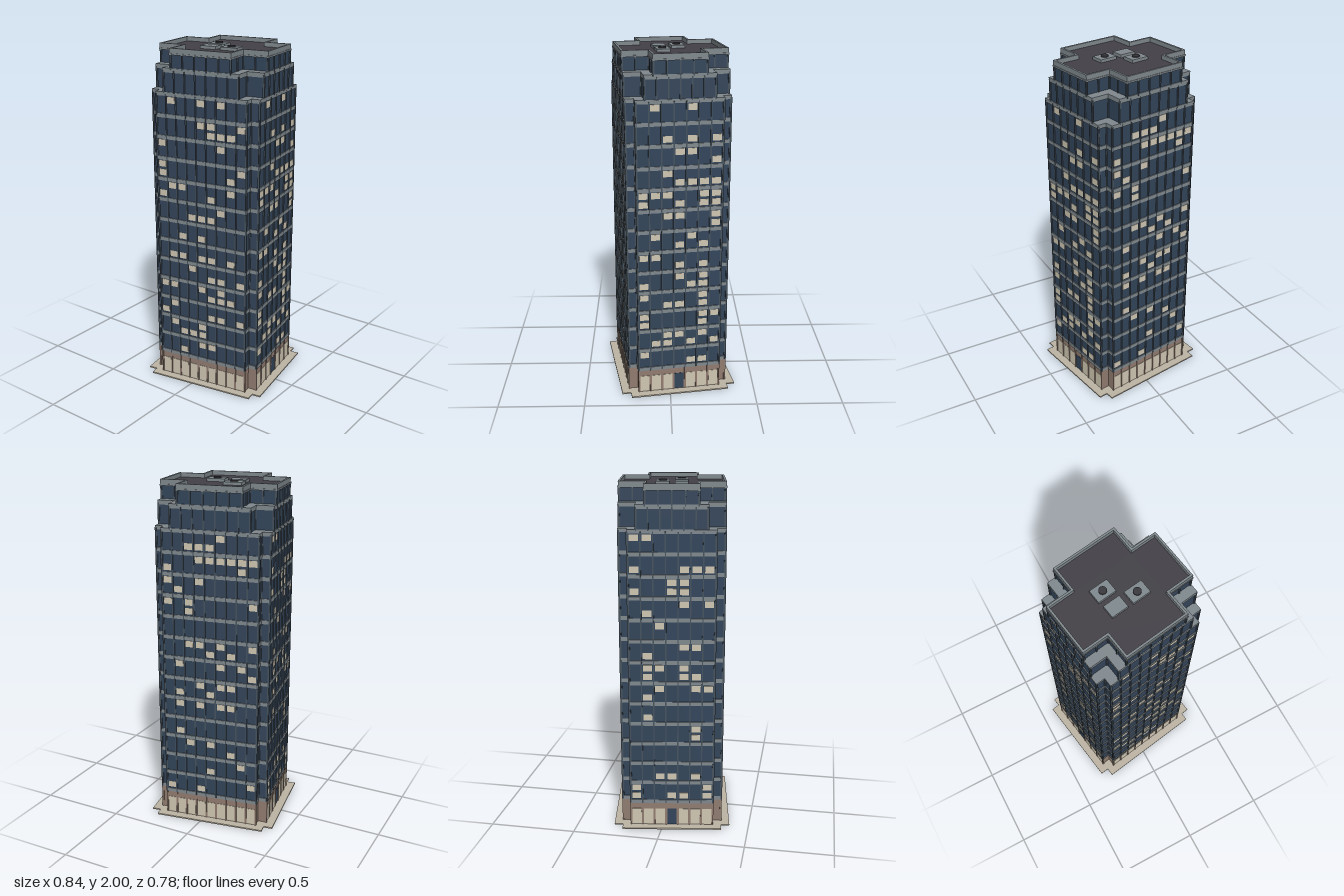
import * as THREE from 'three';
import { mergeGeometries } from 'three/addons/utils/BufferGeometryUtils.js';

const mat = (color) => new THREE.MeshStandardMaterial({ color });
const MAT = {
  glass: mat(0x33455a), lit: mat(0xd0c7b3), band: mat(0x80898e), mullion: mat(0x46525d),
  wall: mat(0x917c70), paving: mat(0xbdb4a4), roof: mat(0x434147), fan: mat(0x3a393e),
};

// Cross-shaped plans: A, B = half extents in x and z; a, b = half widths of the long front and side faces
const MAIN = { A: 0.329, B: 0.29, a: 0.278, b: 0.24 };
const MIDDLE = { A: 0.329, B: 0.29, a: 0.228, b: 0.193 };
const TOP = { A: 0.329, B: 0.29, a: 0.182, b: 0.145 };
const grow = (p, d) => ({ A: p.A + d, B: p.B + d, a: p.a + d, b: p.b + d });

function points({ A, B, a, b }) {
  return [[A, b], [a, b], [a, B], [-a, B], [-a, b], [-A, b], [-A, -b], [-a, -b], [-a, -B], [a, -B], [a, -b], [A, -b]]
    .map(([x, z]) => new THREE.Vector2(x, z));
}

// Upright prism of a cross plan, with an optional cross-shaped hole
function prism(plan, y0, y1, hole) {
  const shape = new THREE.Shape(points(plan));
  if (hole) shape.holes.push(new THREE.Path(points(hole)));
  return new THREE.ExtrudeGeometry(shape, { depth: y1 - y0, bevelEnabled: false })
    .rotateX(-Math.PI / 2).translate(0, y0, 0);
}

// All wall faces of a cross plan: centre, direction, width and window bays
function faces({ A, B, a, b }) {
  const list = [];
  const add = (x, z, angle, width, side) =>
    list.push({ x, z, angle, width, side, bays: Math.max(1, Math.floor(width / 0.061)) });
  for (const s of [1, -1]) {
    add(0, s * B, s > 0 ? 0 : Math.PI, 2 * a, s > 0 ? 'front' : 'back');
    add(s * A, 0, s * Math.PI / 2, 2 * b, s > 0 ? 'left' : 'right');
    for (const t of [1, -1]) {
      add(t * (a + A) / 2, s * b, s > 0 ? 0 : Math.PI, A - a, 'corner');
      add(s * a, t * (b + B) / 2, s * Math.PI / 2, B - b, 'corner');
    }
  }
  return list;
}

// Box on a wall face: u runs along the face, proud is how far it stands out
function onFace(f, u, y, w, h, proud) {
  const g = new THREE.BoxGeometry(w, h, proud + 0.006).translate(u, y, (proud - 0.006) / 2);
  return g.rotateY(f.angle).translate(f.x, 0, f.z);
}

// Lit panes per row, from the bottom row up, as bay offsets from the middle of the face
const LIT = {
  front: [[-2], [0, 1], [-2, -1, 0], [-3, 0], [-4, 1, 2, 4], [-3], [1, 2, 3], [-4, -3, 0, 2], [1, 2, 4], [-1],
    [-3, -2, 0, 1, 3], [], [-2, 0], [], [-1, 0, 1], [2], [-4, 1], [-3, -2, 3], [-4, 3], [-4, 4], [],
    [-4, 2], [1, 2, 3], [0, 1, 4], [], [-3, 0, 2]],
  left: [[1, 2], [-3], [-2, -1, 1, 3], [-1, 0, 2], [-3, 2], [-3, 2, 3], [-1, 0, 2], [-3, 2], [-3, 1, 2], [0, 2],
    [0, 2], [-3, -2], [0, 2], [-2, 1], [3], [-1, 0, 3], [-3, 0, 2, 3], [-3, -2, -1, 2, 3], [0, 1, 2, 3], [-1],
    [3], [0, 1], [-1, 1, 3], [], [], [-2, 1]],
};

let seed = 7;
function random() {
  seed = (seed * 16807) % 2147483647;
  return seed / 2147483647;
}

function createModel() {
  const model = new THREE.Group();
  const building = new THREE.Group();
  building.name = 'building';
  building.rotation.y = THREE.MathUtils.degToRad(9.2);
  model.add(building);
  const add = (name, geos, material) => {
    const mesh = new THREE.Mesh(Array.isArray(geos) ? mergeGeometries(geos) : geos, material);
    mesh.name = name;
    building.add(mesh);
  };

  // Pavement and ground floor
  add('pavement', prism(grow(MAIN, 0.05), 0, 0.008), MAT.paving);
  add('groundFloorWalls', prism(MAIN, 0.008, 0.147), MAT.wall);
  const shopWindows = [], doors = [], piers = [];
  for (const f of faces(MAIN)) {
    if (f.side === 'corner') continue;
    const step = f.width / f.bays;
    for (let i = 0; i < f.bays; i++) {
      const k = i - (f.bays - 1) / 2;
      const isDoor = k === 0 && (f.side === 'left' || f.side === 'right');
      (isDoor ? doors : shopWindows).push(onFace(f, k * step, 0.06, step * 0.8, 0.1, 0.002));
    }
    for (let i = 0; i <= f.bays; i++) {
      const u = (i - f.bays / 2) * step;
      piers.push(onFace(f, u, 0.077, 0.008, 0.14, 0.005));
    }
  }
  add('shopWindows', shopWindows, MAT.lit);
  add('entranceDoors', doors, MAT.glass);
  add('groundFloorPiers', piers, MAT.wall);

  // Glazed tiers, stepping in at the corners
  const tiers = [
    { name: 'mainTower', plan: MAIN, y0: 0.147, y1: 1.75 },
    { name: 'middleTier', plan: MIDDLE, y0: 1.75, y1: 1.88 },
    { name: 'topTier', plan: TOP, y0: 1.88, y1: 1.972 },
  ];
  for (const { name, plan, y0, y1 } of tiers) {
    add(name + 'Glass', prism(plan, y0, y1), MAT.glass);
    const mullions = [];
    for (const f of faces(plan)) {
      for (let i = 0; i <= f.bays; i++) {
        const u = (i / f.bays - 0.5) * f.width;
        mullions.push(onFace(f, u, (y0 + y1) / 2, 0.007, y1 - y0 - 0.004, 0.0065));
      }
    }
    add(name + 'Mullions', mullions, MAT.mullion);
  }

  // Floor bands and setback ledges
  const floor = 0.1223, first = 0.158;
  const bands = [];
  for (let i = 0; i <= 13; i++) {
    const y = first + i * floor;
    bands.push(prism(grow(MAIN, 0.005), y - 0.011, y + 0.011));
  }
  bands.push(prism(grow(MIDDLE, 0.005), 1.867, 1.892));
  add('floorBands', bands, MAT.band);

  // Lit panes, two rows per floor
  const panes = [];
  for (const f of faces(MAIN)) {
    if (f.side === 'corner') continue;
    const step = f.width / f.bays;
    for (let row = 0; row < 26; row++) {
      const y = first + Math.floor(row / 2) * floor + (row % 2 ? 0.089 : 0.038);
      for (let i = 0; i < f.bays; i++) {
        const k = i - (f.bays - 1) / 2;
        const isLit = LIT[f.side] ? LIT[f.side][row].includes(k) : random() < 0.22;
        if (isLit) panes.push(onFace(f, k * step, y, step * 0.74, 0.036, 0.002));
      }
    }
  }
  add('litPanes', panes, MAT.lit);

  // Roof deck and parapet
  add('parapet', prism(grow(TOP, 0.005), 1.972, 2, grow(TOP, -0.007)), MAT.band);
  add('cornice', prism(grow(TOP, 0.008), 1.964, 1.973, grow(TOP, -0.006)), MAT.band);
  add('roofDeck', prism(grow(TOP, -0.006), 1.965, 1.975), MAT.roof);

  // Rooftop plant: units with round fans
  const units = [], fans = [];
  for (const [x, z, w, d, fan] of [
    [-0.065, -0.054, 0.106, 0.077, true],
    [-0.064, 0.05, 0.096, 0.073, false],
    [0.066, 0.051, 0.105, 0.076, true],
  ]) {
    units.push(new THREE.BoxGeometry(w, 0.018, d).translate(x, 1.983, z));
    if (fan) fans.push(new THREE.CylinderGeometry(0.022, 0.022, 0.008, 10).translate(x, 1.995, z));
  }
  add('roofUnits', units, MAT.band);
  add('roofFans', fans, MAT.fan);
  return model;
}

export { createModel };
